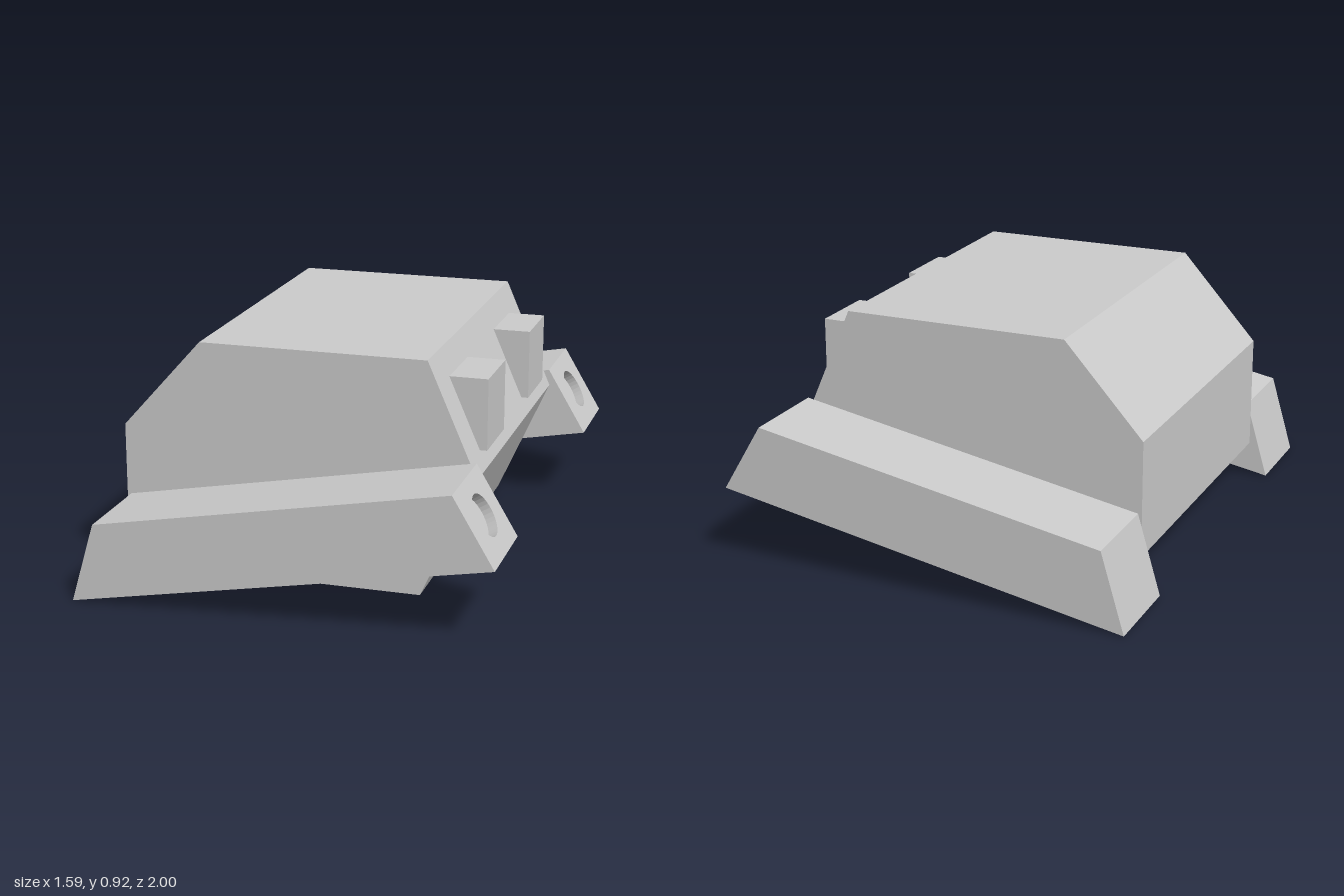
import * as THREE from 'three';

const material = new THREE.MeshStandardMaterial({ color: 0xcccccc, flatShading: true, side: THREE.DoubleSide });

function addMesh(parent, name, geometry) {
  const mesh = new THREE.Mesh(geometry, material);
  mesh.name = name;
  parent.add(mesh);
  return mesh;
}

// Side profile in x/y, extruded along z and centred on zMid
function prism(points, width, zMid = 0) {
  const shape = new THREE.Shape(points.map(([x, y]) => new THREE.Vector2(x, y)));
  return new THREE.ExtrudeGeometry(shape, { depth: width, bevelEnabled: false }).translate(0, 0, zMid - width / 2);
}

// Rectangular loop from a back point and a front point, with half widths at each
const loop = (back, front, wBack, wFront = wBack) => [
  [...back, -wBack], [...front, -wFront], [...front, wFront], [...back, wBack],
];

// Outer shell of a rail with a tapered cavity in its underside (front end left open)
function railGeometry() {
  const bottom = loop([-0.795, 0], [0.79, 0.295], 0.18);
  const top = loop([-0.705, 0.305], [0.635, 0.555], 0.18);
  const opening = loop([-0.77, 0.005], [0.755, 0.288], 0.16);
  const ceiling = loop([-0.75, 0.08], [0.645, 0.45], 0.155, 0.09);
  const positions = [];
  const quad = (a, b, c, d) => positions.push(...a, ...b, ...c, ...a, ...c, ...d);
  const skin = (a, b, skip = -1) => {
    for (let i = 0; i < 4; i++) {
      const j = (i + 1) % 4;
      if (i !== skip) quad(a[j], a[i], b[i], b[j]);
    }
  };
  skin(bottom, top, 1);
  skin(opening, bottom);
  skin(ceiling, opening);
  quad(...ceiling);
  quad(top[3], top[2], top[1], top[0]);
  const geometry = new THREE.BufferGeometry();
  geometry.setAttribute('position', new THREE.Float32BufferAttribute(positions, 3));
  geometry.computeVertexNormals();
  return geometry;
}

// Sloping end plate with a round blind socket
function railEnd() {
  const radius = 0.083, depth = 0.037;
  const end = new THREE.Group();
  end.name = 'railEnd';
  const plate = new THREE.Shape();
  plate.moveTo(-0.18, -0.157).lineTo(0.18, -0.157).lineTo(0.18, 0.146).lineTo(-0.18, 0.146).closePath();
  plate.holes.push(new THREE.Path().absarc(0, 0, radius, 0, Math.PI * 2, true));
  addMesh(end, 'endPlate', new THREE.ShapeGeometry(plate, 16));
  addMesh(end, 'socketWall',
    new THREE.CylinderGeometry(radius, radius, depth, 32, 1, true).rotateX(Math.PI / 2).translate(0, 0, -depth / 2));
  addMesh(end, 'socketFloor', new THREE.CircleGeometry(radius, 32).translate(0, 0, -depth));
  end.position.set(0.7095, 0.43, 0);
  end.rotation.set(0, Math.PI / 2, Math.atan2(0.155, 0.26), 'ZYX');
  return end;
}

export function createModel() {
  const model = new THREE.Group();
  model.name = 'model';

  // Faceted central body
  addMesh(model, 'body', prism([
    [-0.44, 0.025], [0.43, 0.025], [0.638, 0.49], [0.45, 0.92],
    [-0.415, 0.92], [-0.72, 0.58], [-0.72, 0.135],
  ], 1.28));

  for (const side of [1, -1]) {
    const label = side > 0 ? 'front' : 'rear';

    // Wedge block on the sloping face
    addMesh(model, label + 'Block',
      prism([[0.61, 0.555], [0.637, 0.555], [0.637, 0.825], [0.49, 0.825]], 0.275, side * 0.352));

    // Tilted hollow rail
    const rail = new THREE.Group();
    rail.name = label + 'Rail';
    addMesh(rail, 'railShell', railGeometry());
    rail.add(railEnd());
    rail.position.z = side * 0.82;
    model.add(rail);
  }
  return model;
}
